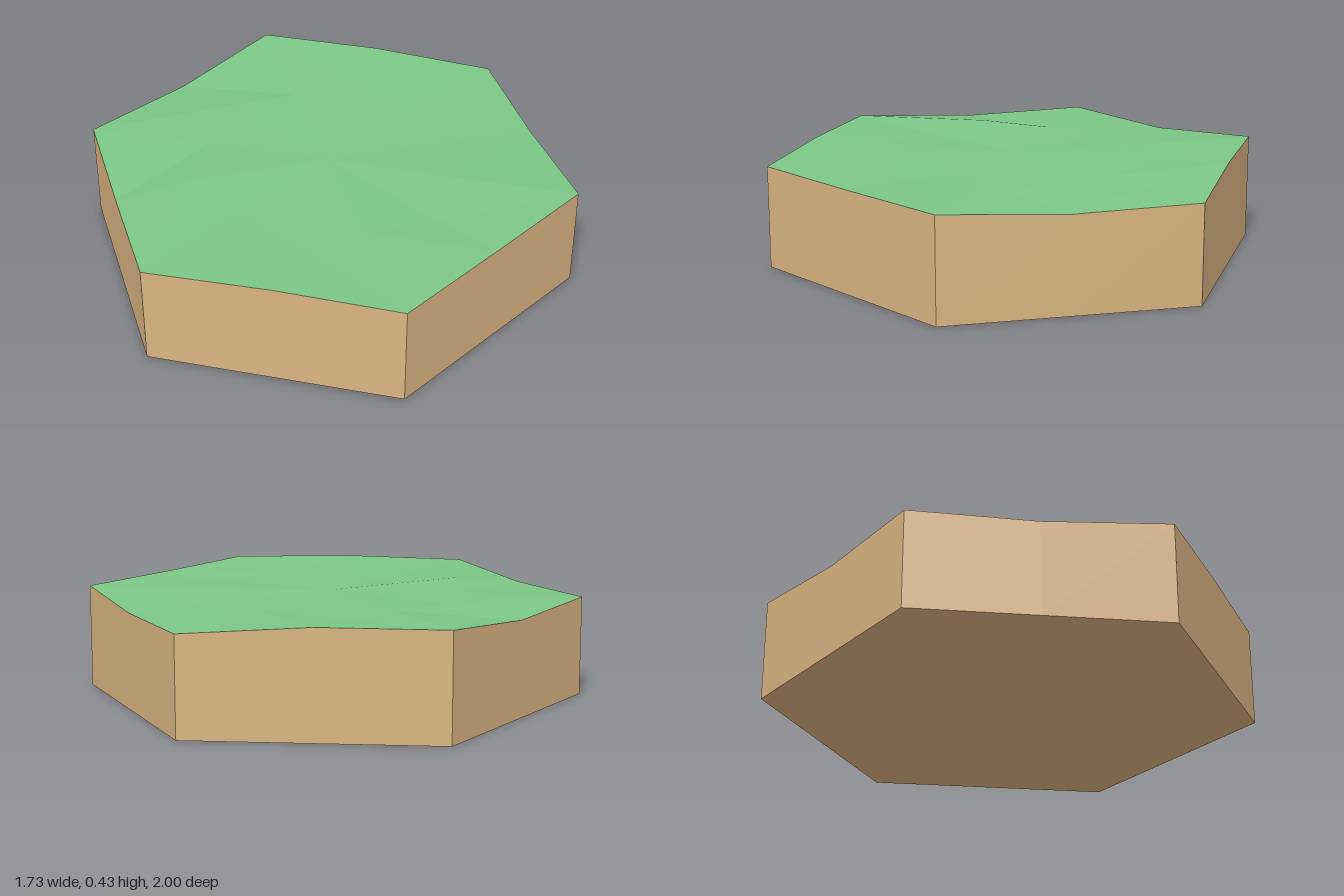
import * as THREE from 'three';

// Heights per 30 degree step, starting at the front corner (+z) and turning towards +x.
// Even steps are hexagon corners, odd steps are edge middles.
const RIM = [0.41, 0.41, 0.415, 0.385, 0.395, 0.427, 0.425, 0.382, 0.398, 0.385, 0.408, 0.42];
const INNER = [0.41, 0.4, 0.41, 0.4, 0.405, 0.41, 0.415, 0.41, 0.41, 0.422, 0.403, 0.41];
const HUB_HEIGHT = 0.413;
const APOTHEM = Math.sqrt(3) / 2;

function ring(cornerRadius, middleRadius, heights) {
  return heights.map((y, i) => {
    const a = (i * Math.PI) / 6;
    const r = i % 2 ? middleRadius : cornerRadius;
    return new THREE.Vector3(Math.sin(a) * r, y, Math.cos(a) * r);
  });
}

// Unshared corners give every triangle its own flat normal.
function facetedMesh(name, triangles, material) {
  const geometry = new THREE.BufferGeometry().setFromPoints(triangles);
  geometry.computeVertexNormals();
  const mesh = new THREE.Mesh(geometry, material);
  mesh.name = name;
  return mesh;
}

export function createModel() {
  const grass = new THREE.MeshStandardMaterial({ color: 0x7cc886 });
  grass.name = 'grass green';
  const earth = new THREE.MeshStandardMaterial({ color: 0xdab481 });
  earth.name = 'earth brown';

  const rim = ring(1, APOTHEM, RIM);
  const inner = ring(0.5, 1 / Math.sqrt(3), INNER);
  const foot = ring(1, APOTHEM, RIM.map(() => 0));
  const hub = new THREE.Vector3(0, HUB_HEIGHT, 0);
  const centre = new THREE.Vector3(0, 0, 0);

  const top = [], sides = [], base = [];
  for (let i = 0; i < 12; i++) {
    const j = (i + 1) % 12;
    // Uneven grass: hub fan, then a band out to the rim
    top.push(hub, inner[i], inner[j]);
    top.push(inner[i], rim[i], rim[j], inner[i], rim[j], inner[j]);
    // Upright earth walls
    sides.push(foot[i], foot[j], rim[j], foot[i], rim[j], rim[i]);
    // Flat underside
    base.push(centre, foot[j], foot[i]);
  }

  const tile = new THREE.Group();
  tile.name = 'hexTile';
  tile.add(
    facetedMesh('grassTop', top, grass),
    facetedMesh('earthSides', sides, earth),
    facetedMesh('earthBase', base, earth)
  );
  return tile;
}
